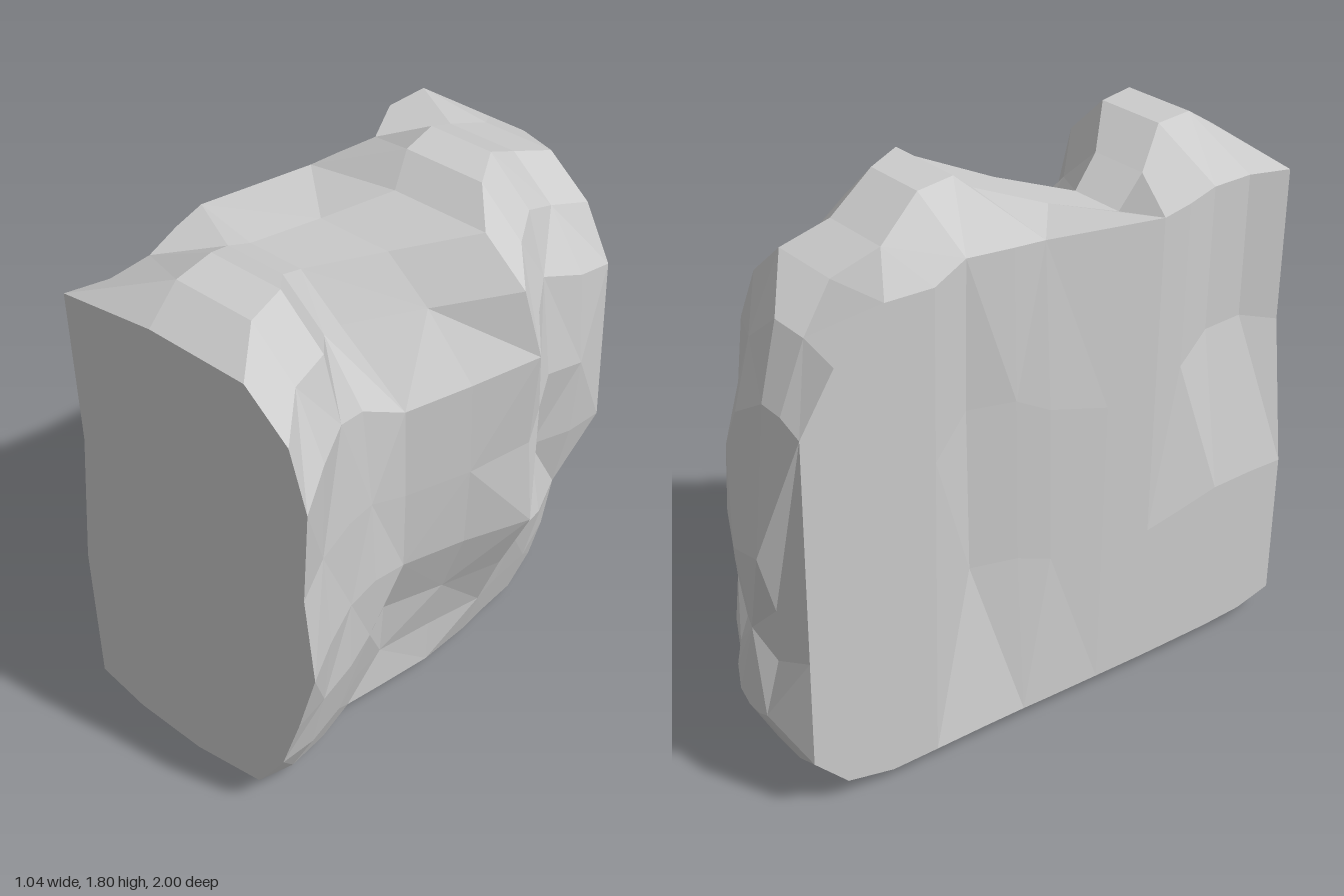
import * as THREE from 'three';

// Cross-sections from front to back:
// z, bottom, top, upper left x, then x of the bulging side at rising heights
const SECTIONS = [
  [1.0, 0.05, 1.72, -0.45, 0.24, 0.36, 0.44, 0.52, 0.49, 0.52, 0.46],
  [0.86, 0.01, 1.80, -0.41, 0.25, 0.35, 0.41, 0.45, 0.43, 0.45, 0.35],
  [0.70, 0.0, 1.80, -0.42, 0.23, 0.31, 0.37, 0.38, 0.38, 0.36, 0.30],
  [0.54, 0.0, 1.70, -0.48, 0.19, 0.24, 0.30, 0.33, 0.32, 0.29, 0.14],
  [0.40, 0.0, 1.62, -0.52, 0.21, 0.21, 0.23, 0.32, 0.33, 0.33, 0.07],
  [0.20, 0.0, 1.66, -0.48, 0.24, 0.25, 0.31, 0.40, 0.42, 0.42, 0.24],
  [0.0, 0.0, 1.72, -0.44, 0.24, 0.30, 0.39, 0.51, 0.49, 0.52, 0.45],
  [-0.11, 0.0, 1.80, -0.43, 0.23, 0.29, 0.36, 0.40, 0.44, 0.42, 0.34],
  [-0.27, 0.0, 1.80, -0.41, 0.22, 0.28, 0.34, 0.29, 0.35, 0.31, 0.24],
  [-0.46, 0.0, 1.70, -0.52, 0.16, 0.21, 0.25, 0.31, 0.34, 0.32, 0.18],
  [-0.63, 0.0, 1.64, -0.52, 0.07, 0.10, 0.19, 0.30, 0.30, 0.30, 0.20],
  [-0.80, 0.04, 1.55, -0.52, -0.08, -0.03, 0.01, -0.01, 0.03, 0.03, -0.05],
];
// Shrinking sections that round off the back end
const BACK_END = [
  [-0.92, 0.17, 1.36, -0.52, -0.18, -0.10, -0.08, -0.11, -0.07, -0.09, -0.16],
  [-1.0, 0.32, 0.90, -0.38, -0.22, -0.18, -0.17, -0.18, -0.17, -0.19, -0.22],
];
const HEIGHTS = [0.035, 0.14, 0.27, 0.42, 0.60, 0.80, 0.92];

// One closed outline: underside, bulging side, top, flat side
function outline([z, bottom, top, left, ...side]) {
  const lerp = THREE.MathUtils.lerp;
  const isEnd = z === -1;
  const low = isEnd ? left : -0.52;
  const topRight = side[6] - 0.16;
  const y = (f) => lerp(bottom, top, f);
  const ledge = z < -0.7 ? top - 0.03 : Math.min(1.67, top + 0.05);
  // Wedge-shaped notch in the flat side, deepest at its back
  const inNotch = z < 0.3 && z > -0.4;
  const notch = Math.max(-0.52, -0.41 - 0.27 * (z + 0.27));
  const ring = [
    [low, y(0.025)],
    [lerp(low, side[0], 0.25), bottom],
    [lerp(low, side[0], 0.62), bottom],
    ...side.map((x, i) => [x, y(HEIGHTS[i])]),
    [topRight, top],
    [lerp(left, topRight, 0.5), top],
    [left, ledge],
    [inNotch ? notch : left, y(0.65)],
    [inNotch ? Math.max(-0.52, notch - 0.02) : low, y(0.34)],
  ];
  // The end outline is pinched in at mid height
  const dent = (py) => (isEnd ? 0.08 * (1 - Math.abs(py - 0.61) / 0.29) : 0);
  return ring.map(([px, py]) => new THREE.Vector3(px, py, z + dent(py)));
}

function rockGeometry() {
  const rings = [...SECTIONS, ...BACK_END].map(outline);
  const n = rings[0].length;
  const points = [];
  const tri = (...corners) => corners.forEach((p) => points.push(p.x, p.y, p.z));

  // Skin between neighbouring outlines, with varied diagonals for a chipped look
  for (let i = 0; i < rings.length - 1; i++) {
    for (let j = 0; j < n; j++) {
      const k = (j + 1) % n;
      const a = rings[i][j], b = rings[i + 1][j];
      const c = rings[i + 1][k], d = rings[i][k];
      if ((i + j) % 2) {
        tri(a, b, d);
        tri(b, c, d);
      } else {
        tri(a, b, c);
        tri(a, c, d);
      }
    }
  }

  // Flat front end and pinched back end
  const cap = (ring, flip) => {
    const centre = new THREE.Vector3();
    ring.forEach((p) => centre.addScaledVector(p, 1 / n));
    ring.forEach((p, j) => {
      const q = ring[(j + 1) % n];
      if (flip) tri(centre, q, p);
      else tri(centre, p, q);
    });
  };
  cap(rings[0], false);
  cap(rings[rings.length - 1], true);

  const geometry = new THREE.BufferGeometry();
  geometry.setAttribute('position', new THREE.Float32BufferAttribute(points, 3));
  geometry.computeVertexNormals();
  return geometry;
}

export function createModel() {
  const group = new THREE.Group();
  group.name = 'rockWall';
  const material = new THREE.MeshStandardMaterial({ color: 0xcccccc, flatShading: true });
  const rock = new THREE.Mesh(rockGeometry(), material);
  rock.name = 'rock';
  group.add(rock);
  return group;
}
